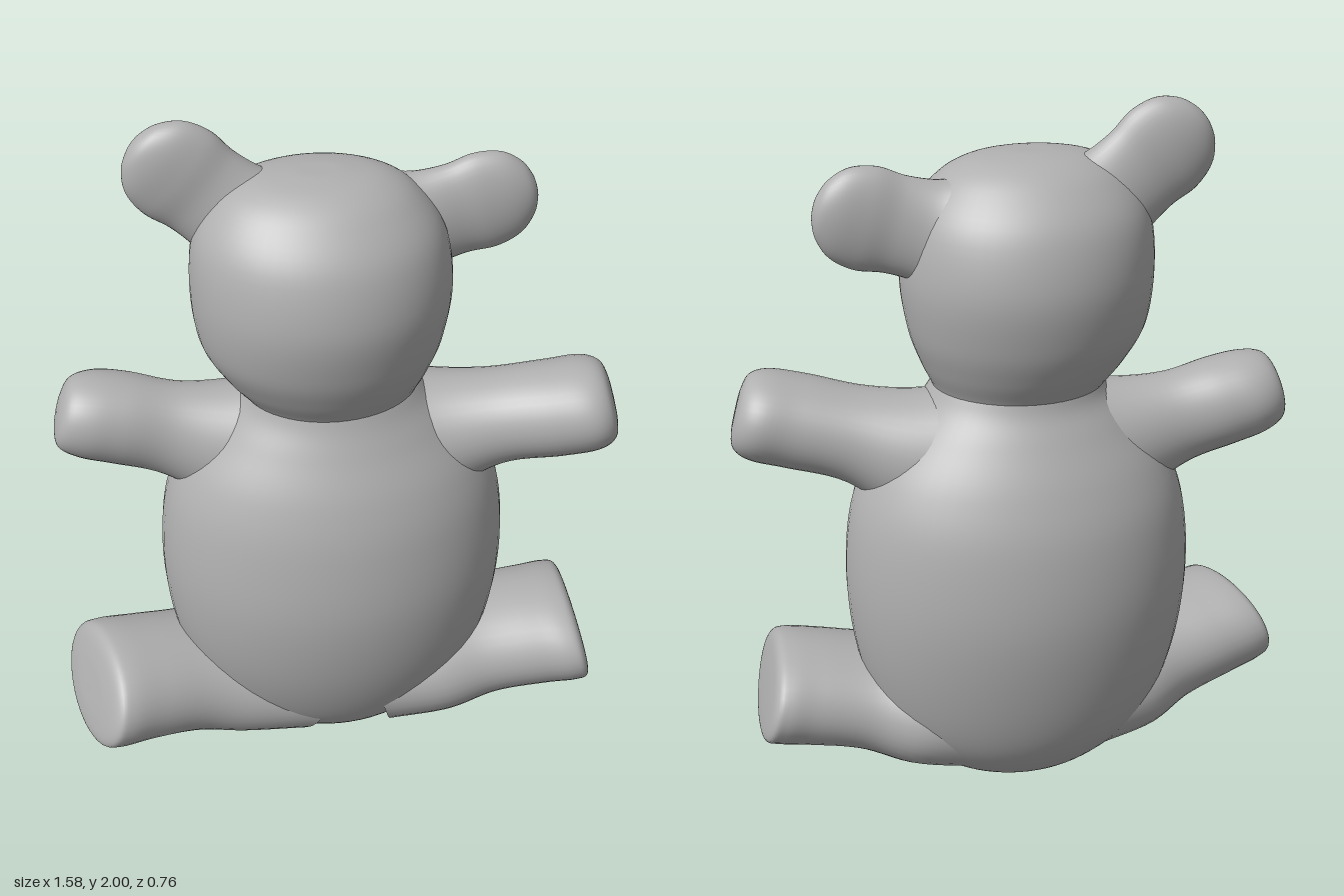
import * as THREE from 'three';

const fur = new THREE.MeshStandardMaterial({ color: 0xb0b0b0 });
fur.name = 'grey fur';

// Smooth skin over elliptical rings [x, y, z, rAcross, rDepth], all square to one axis.
function loft(name, axis, keys, steps = 40, sides = 40) {
  const a = new THREE.Vector3(...axis).normalize();
  const u = new THREE.Vector3(0, 0, 1).addScaledVector(a, -a.z).normalize();
  const v = new THREE.Vector3().crossVectors(a, u);
  const spline = (points) => new THREE.CatmullRomCurve3(points, false, 'catmullrom', 0.5);
  const path = spline(keys.map((k) => new THREE.Vector3(k[0], k[1], k[2])));
  const size = spline(keys.map((k) => new THREE.Vector3(k[3], k[4], 0)));
  const pos = [];
  const index = [];
  for (let i = 0; i <= steps; i++) {
    const c = path.getPoint(i / steps);
    const r = size.getPoint(i / steps);
    for (let j = 0; j < sides; j++) {
      const t = (j / sides) * Math.PI * 2;
      const p = c.clone()
        .addScaledVector(v, Math.cos(t) * Math.max(r.x, 0))
        .addScaledVector(u, Math.sin(t) * Math.max(r.y, 0));
      pos.push(p.x, p.y, p.z);
      if (i === steps) continue;
      const n = (j + 1) % sides;
      const p0 = i * sides + j, p1 = i * sides + n;
      index.push(p0, p0 + sides, p1, p1, p0 + sides, p1 + sides);
    }
  }
  const geo = new THREE.BufferGeometry();
  geo.setAttribute('position', new THREE.Float32BufferAttribute(pos, 3));
  geo.setIndex(index);
  geo.computeVertexNormals();
  const mesh = new THREE.Mesh(geo, fur);
  mesh.name = name;
  return mesh;
}

// Flat rounded ear growing from the head along dir.
function ear(name, centre, dir) {
  const d = new THREE.Vector3(...dir).normalize();
  const rings = [
    [-0.24, 0.17, 0.13], [-0.17, 0.14, 0.085], [-0.08, 0.132, 0.062], [0, 0.14, 0.06],
    [0.07, 0.122, 0.055], [0.115, 0.08, 0.042], [0.135, 0.035, 0.022], [0.14, 0, 0],
  ];
  return loft(name, dir, rings.map(([s, w, t]) =>
    [centre[0] + d.x * s, centre[1] + d.y * s, centre[2], w, t]));
}

export function createModel() {
  const bear = new THREE.Group();
  bear.name = 'teddyBear';

  // Egg-shaped torso narrowing to the neck
  const torso = [
    [0.005, 0, 0, 0, 0], [0.02, 0, -0.02, 0.13, 0.1], [0.07, 0, -0.02, 0.26, 0.19],
    [0.2, 0, -0.02, 0.39, 0.28], [0.4, 0, -0.015, 0.465, 0.345], [0.63, 0, -0.015, 0.493, 0.375],
    [0.85, 0, -0.015, 0.478, 0.355], [1.0, 0, -0.01, 0.425, 0.31], [1.12, 0, -0.005, 0.33, 0.25],
    [1.19, 0, 0, 0.265, 0.213], [1.24, -0.005, 0, 0.235, 0.195],
  ];
  // Round head with a slightly flat crown
  const head = [
    [1.19, 0, 0, 0.22, 0.18], [1.235, -0.01, 0, 0.245, 0.203], [1.3, -0.02, 0, 0.285, 0.24],
    [1.4, -0.03, 0, 0.328, 0.28], [1.55, -0.03, 0, 0.345, 0.303], [1.7, -0.035, 0, 0.325, 0.27],
    [1.8, -0.04, 0, 0.26, 0.195], [1.85, -0.04, 0, 0.18, 0.125], [1.868, -0.04, 0, 0.08, 0.055],
    [1.87, -0.04, 0, 0, 0],
  ];
  const upright = (rows) => rows.map(([y, x, z, rx, rz]) => [x, y, z, rx, rz]);
  bear.add(loft('torso', [0, 1, 0], upright(torso), 60, 56));
  bear.add(loft('head', [0, 1, 0], upright(head), 50, 56));

  // Ears
  bear.add(ear('rightEar', [-0.388, 1.86, -0.04], [-0.76, 0.65, 0]));
  bear.add(ear('leftEar', [0.405, 1.724, -0.05], [0.96, 0.26, 0]));

  // Arms, flared at the shoulder and blunt at the paw
  bear.add(loft('leftArm', [0.95, 0.27, 0.12], [
    [0.12, 1.0, -0.02, 0.25, 0.2], [0.3, 1.04, 0, 0.18, 0.165], [0.45, 1.09, 0.03, 0.135, 0.14],
    [0.6, 1.125, 0.065, 0.132, 0.145], [0.7, 1.147, 0.08, 0.127, 0.148],
    [0.75, 1.158, 0.088, 0.105, 0.12], [0.765, 1.162, 0.09, 0.06, 0.07], [0.768, 1.163, 0.09, 0, 0],
  ]));
  bear.add(loft('rightArm', [-0.95, 0.27, 0], [
    [-0.12, 1.0, -0.02, 0.25, 0.2], [-0.3, 1.04, -0.025, 0.18, 0.15], [-0.45, 1.085, -0.03, 0.137, 0.115],
    [-0.58, 1.125, -0.035, 0.13, 0.125], [-0.67, 1.147, -0.035, 0.122, 0.125],
    [-0.73, 1.16, -0.03, 0.1, 0.1], [-0.75, 1.164, -0.025, 0.055, 0.055], [-0.754, 1.165, -0.025, 0, 0],
  ]));

  // Legs, ending in flat oval soles
  bear.add(loft('leftLeg', [1, 0.25, 0], [
    [0.12, 0.22, 0, 0.2, 0.25], [0.3, 0.24, 0.01, 0.185, 0.25], [0.45, 0.265, 0.025, 0.16, 0.21],
    [0.6, 0.29, 0.035, 0.157, 0.21], [0.69, 0.303, 0.04, 0.152, 0.22],
    [0.73, 0.305, 0.04, 0.138, 0.205], [0.74, 0.306, 0.04, 0.08, 0.12], [0.742, 0.306, 0.04, 0, 0],
  ]));
  bear.add(loft('rightLeg', [-1, 0.36, 0.33], [
    [-0.12, 0.22, 0, 0.2, 0.25], [-0.3, 0.235, 0.03, 0.185, 0.23], [-0.44, 0.265, 0.075, 0.165, 0.2],
    [-0.58, 0.295, 0.12, 0.16, 0.205], [-0.68, 0.315, 0.155, 0.155, 0.215],
    [-0.72, 0.322, 0.168, 0.138, 0.2], [-0.732, 0.325, 0.172, 0.08, 0.12], [-0.734, 0.325, 0.172, 0, 0],
  ]));

  return bear;
}
